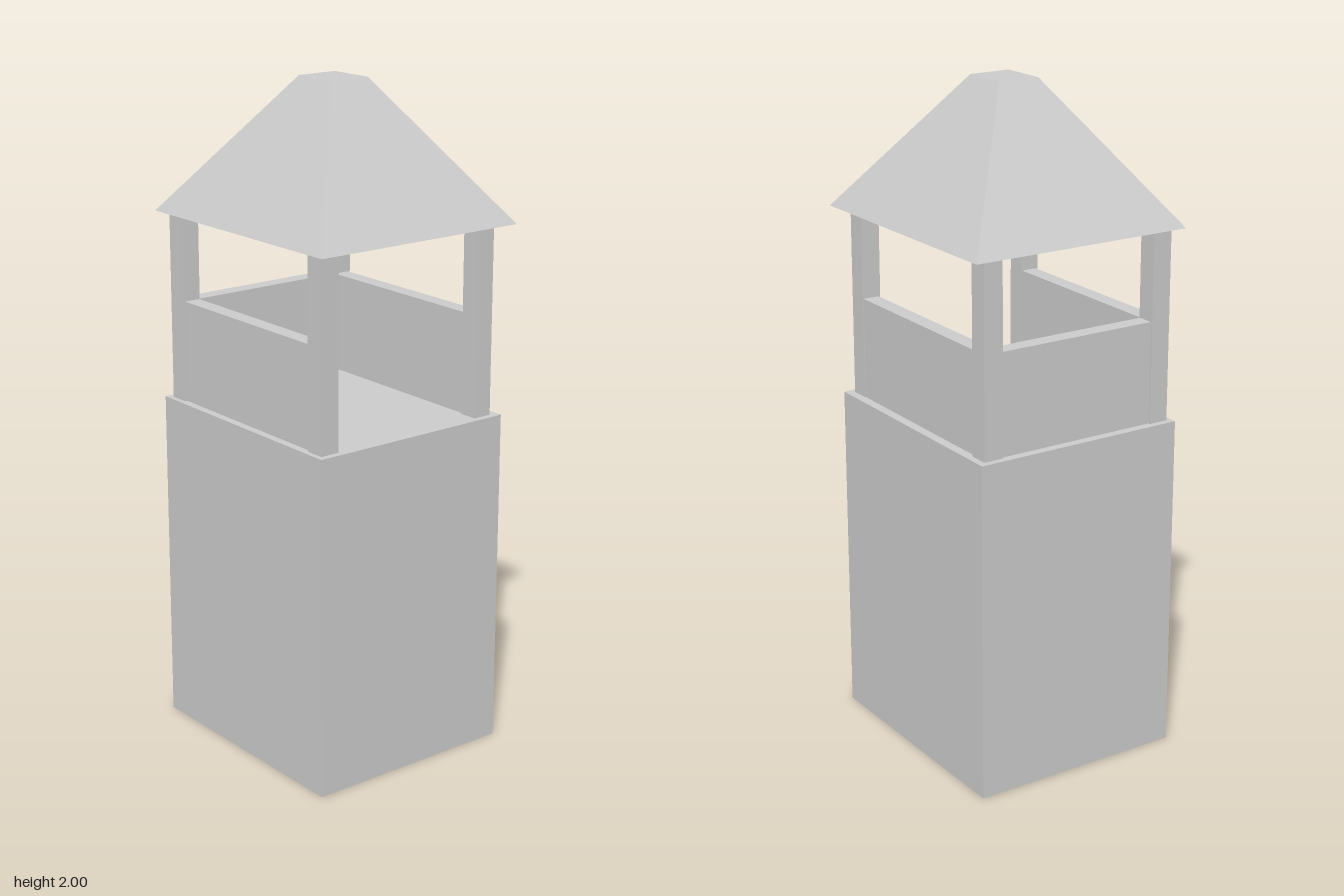
import * as THREE from 'three';

const solid = new THREE.MeshStandardMaterial({ color: 0xcccccc });
const shell = new THREE.MeshStandardMaterial({ color: 0xcccccc, side: THREE.DoubleSide });

// Box given by its min and max along each axis
function block(name, [x0, x1], [y0, y1], [z0, z1], material = solid) {
  const geo = new THREE.BoxGeometry(x1 - x0, y1 - y0, z1 - z0);
  geo.translate((x0 + x1) / 2, (y0 + y1) / 2, (z0 + z1) / 2);
  const mesh = new THREE.Mesh(geo, material);
  mesh.name = name;
  return mesh;
}

// Removes the underside of a box, leaving a hollow shell
function openBottom(geo) {
  const index = Array.from(geo.index.array);
  index.splice(18, 6);
  geo.setIndex(index);
  geo.clearGroups();
}

export function createModel() {
  const tower = new THREE.Group();
  tower.name = 'watchtower';
  const deckY = 1.025, railY = 1.33, eaveY = 1.595;

  // Tall hollow base with the deck as its top
  const base = block('base', [-0.33, 0.335], [0, deckY], [-0.395, 0.365], shell);
  openBottom(base.geometry);
  tower.add(base);

  // Corner posts
  for (const [end, z] of [['front', [0.285, 0.345]], ['back', [-0.375, -0.315]]]) {
    const rightX = end === 'front' ? [0.25, 0.309] : [0.254, 0.314];
    tower.add(block(end + 'LeftPost', rightX, [deckY, eaveY], z));
    tower.add(block(end + 'RightPost', [-0.314, -0.254], [deckY, eaveY], z));
  }

  // Parapet on three sides, open at the front
  tower.add(block('leftParapet', [0.256, 0.306], [deckY, railY], [-0.315, 0.285]));
  tower.add(block('rightParapet', [-0.306, -0.256], [deckY, railY], [-0.315, 0.285]));
  tower.add(block('backParapet', [-0.254, 0.254], [deckY, railY], [-0.368, -0.318]));

  // Hollow hipped roof with a flat cap
  const roof = block('roof', [-0.35, 0.35], [eaveY, 2], [-0.395, 0.395], shell);
  const pos = roof.geometry.attributes.position;
  for (let i = 0; i < pos.count; i++) {
    if (pos.getY(i) > 1.9) {
      pos.setX(i, Math.sign(pos.getX(i)) * 0.065);
      pos.setZ(i, Math.sign(pos.getZ(i)) * 0.074);
    }
  }
  openBottom(roof.geometry);
  roof.geometry.computeVertexNormals();
  tower.add(roof);

  return tower;
}
